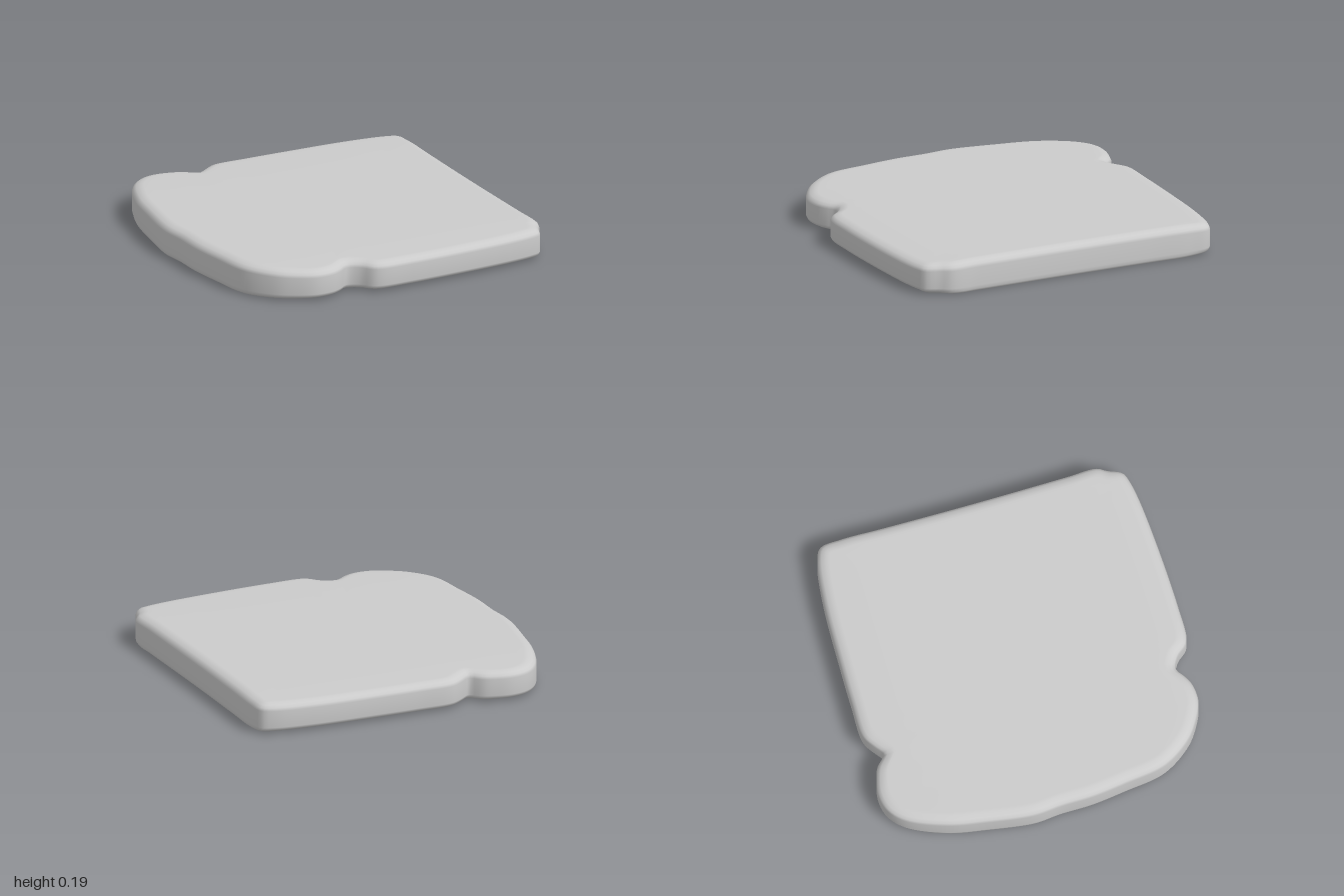
import * as THREE from 'three';

// Outline of the slice as [x, z], clockwise seen from above.
const OUTLINE = [
  [-0.98, -0.17], [-0.94, -0.45], [-0.895, -0.67], [-0.795, -0.895], [-0.705, -0.975], [-0.6, -0.998],
  [-0.5, -0.98], [-0.435, -0.955], [-0.385, -0.908], [-0.368, -0.893], [-0.35, -0.902], [-0.305, -0.937],
  [-0.228, -0.98], [0, -0.983], [0.24, -0.978], [0.65, -0.96], [0.89, -0.923], [0.958, -0.885],
  [0.972, -0.76], [0.968, -0.5], [0.964, 0], [0.968, 0.6], [0.97, 0.785], [0.94, 0.84],
  [0.9, 0.925], [0.845, 0.947], [0.68, 0.972], [0.03, 0.997], [-0.205, 0.98], [-0.275, 0.907],
  [-0.345, 0.876], [-0.4, 0.912], [-0.465, 0.941], [-0.577, 0.943], [-0.705, 0.883], [-0.795, 0.809],
  [-0.9, 0.645], [-0.94, 0.4], [-0.965, 0.19], [-0.968, 0],
];

// Section from bottom centre to top centre: [inset from edge, height, scale toward centre].
const SECTION = [
  [0.055, 0, 0], [0.055, 0, 0.4], [0.055, 0, 0.75], [0.055, 0, 0.94], [0.055, 0, 1],
  [0.028, 0.004, 1], [0.009, 0.015, 1], [0, 0.035, 1],
  [0, 0.145, 1], [0.008, 0.164, 1], [0.024, 0.178, 1], [0.05, 0.187, 1],
  [0.055, 0.188, 0.985], [0.055, 0.188, 0.94], [0.055, 0.188, 0.75], [0.055, 0.188, 0.4], [0.055, 0.188, 0],
];

function sliceGeometry() {
  const curve = new THREE.CatmullRomCurve3(
    OUTLINE.map(([x, z]) => new THREE.Vector3(x, 0, z)), true, 'centripetal');
  const n = 300;
  const edge = curve.getSpacedPoints(n).slice(0, n);
  const middle = 0.094;
  const positions = [];
  const index = [];

  SECTION.forEach(([inset, height, scale], r) => {
    edge.forEach((p, i) => {
      // Outward direction, smoothed over neighbouring points
      const t = edge[(i + 4) % n].clone().sub(edge[(i + n - 4) % n]).normalize();
      // The lower edge is crisp on the crown and base, rounder on the two sides
      const rounding = height < middle ? 0.25 + 0.8 * Math.abs(t.x) : 1;
      const x = (p.x - t.z * inset * rounding) * scale;
      const z = (p.z + t.x * inset * rounding) * scale;
      // The slice thins slightly toward its two sides
      const thin = 1 - 0.1 * THREE.MathUtils.smoothstep(Math.abs(z), 0.65, 1);
      positions.push(x, middle + (height - middle) * thin, z);

      // Join to the ring below; the first and last rings are single centre points
      if (r === 0) return;
      const j = (i + 1) % n;
      const a = (r - 1) * n + i, b = (r - 1) * n + j;
      const c = r * n + i, d = r * n + j;
      if (r > 1) index.push(a, c, b);
      if (r < SECTION.length - 1) index.push(b, c, d);
    });
  });

  const geometry = new THREE.BufferGeometry();
  geometry.setAttribute('position', new THREE.Float32BufferAttribute(positions, 3));
  geometry.setIndex(index);
  geometry.computeVertexNormals();
  return geometry;
}

export function createModel() {
  const model = new THREE.Group();
  model.name = 'breadSlice';
  const slice = new THREE.Mesh(sliceGeometry(), new THREE.MeshStandardMaterial({ color: 0xcccccc }));
  slice.name = 'slice';
  model.add(slice);
  return model;
}
